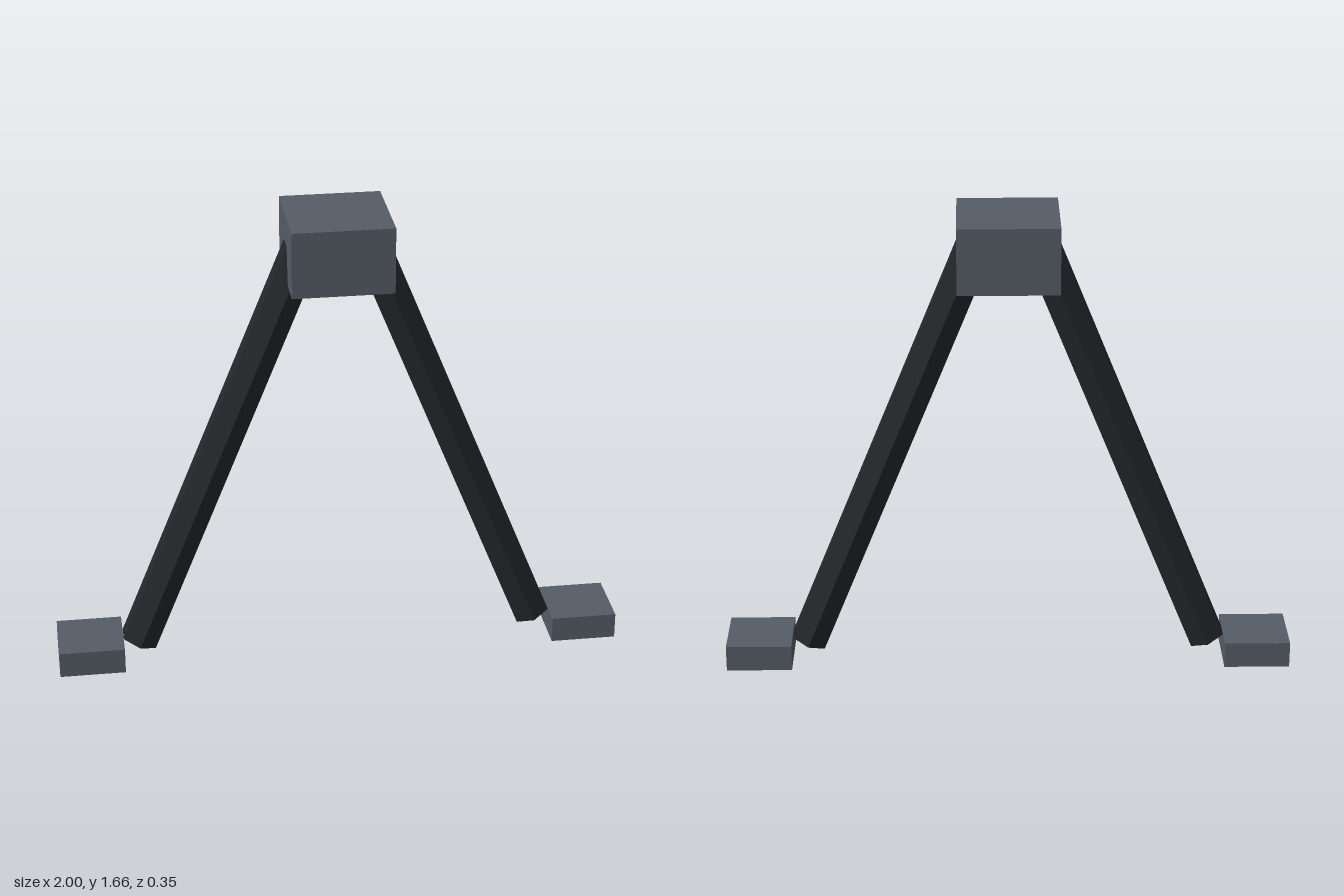
import * as THREE from 'three';

export function createModel() {
  const model = new THREE.Group();
  const blockMat = new THREE.MeshStandardMaterial({ color: 0x555d66, flatShading: true });
  const legMat = new THREE.MeshStandardMaterial({ color: 0x24272b, flatShading: true });

  function add(name, geometry, material, x, y) {
    const mesh = new THREE.Mesh(geometry, material);
    mesh.name = name;
    mesh.position.set(x, y, 0);
    model.add(mesh);
    return mesh;
  }

  // Block joining the legs at the top
  add('hipBlock', new THREE.BoxGeometry(0.346, 0.231, 0.346), blockMat, 0, 1.54);

  // Splayed six-sided legs, each ending beside a flat foot
  const legLength = 1.614;
  const tilt = 0.385;
  for (const [label, side] of [['left', 1], ['right', -1]]) {
    const leg = add(label + 'Leg', new THREE.CylinderGeometry(0.07, 0.07, legLength, 6), legMat,
      side * (0.712 - Math.sin(tilt) * legLength / 2), 0.065 + Math.cos(tilt) * legLength / 2);
    leg.rotation.z = side * tilt;
    add(label + 'Foot', new THREE.BoxGeometry(0.231, 0.093, 0.231), blockMat, side * 0.8845, 0.0465);
  }

  return model;
}
